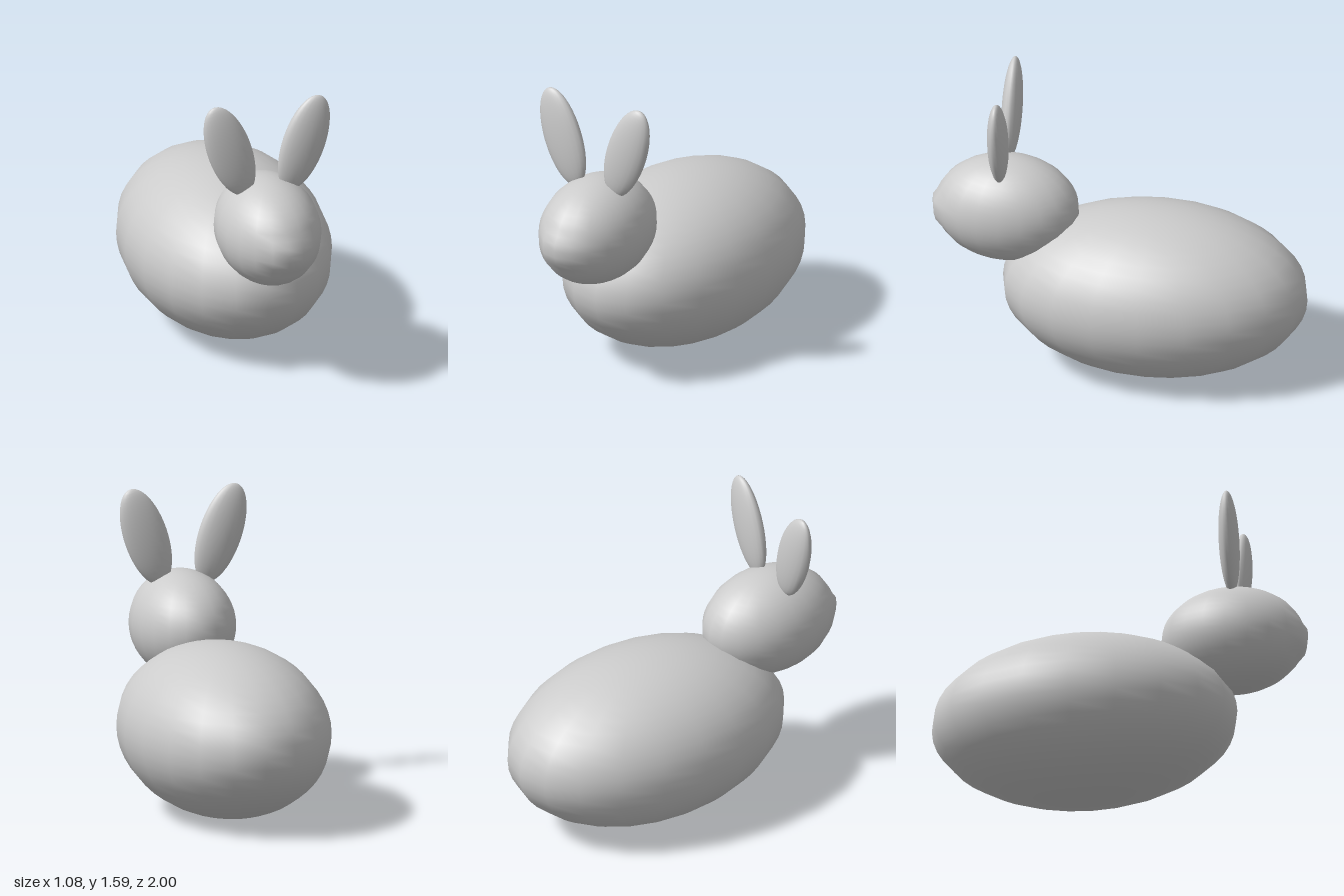
import * as THREE from 'three';

const material = new THREE.MeshStandardMaterial({ color: 0xcccccc });

// Ellipsoid with its poles on the local y axis
function ellipsoid(name, radii, position, segments = 20, rings = 24) {
  const geometry = new THREE.SphereGeometry(1, segments, rings);
  geometry.scale(...radii);
  const mesh = new THREE.Mesh(geometry, material);
  mesh.name = name;
  mesh.position.set(...position);
  return mesh;
}

export function createModel() {
  const model = new THREE.Group();
  model.name = 'rabbit';

  // Long egg-shaped body resting on the ground
  model.add(ellipsoid('body', [0.542, 0.452, 0.812], [0, 0.452, -0.188]));

  // Head, with a faint raised nose at the front
  const head = ellipsoid('head', [0.273, 0.288, 0.383], [0, 0.858, 0.602]);
  const points = head.geometry.attributes.position;
  for (let i = 0; i < points.count; i++) {
    const x = points.getX(i), y = points.getY(i), z = points.getZ(i);
    if (z > 0.3 && Math.abs(x) < 0.1 && y > -0.08 && y < 0.05) points.setZ(i, z + 0.015);
  }
  head.geometry.computeVertexNormals();
  // Restore smooth normals so the sphere seam stays hidden
  const normals = head.geometry.attributes.normal;
  const n = new THREE.Vector3();
  for (let i = 0; i < points.count; i++) {
    const x = points.getX(i), y = points.getY(i), z = points.getZ(i);
    if (z > 0.3) continue;
    n.set(x / 0.273 ** 2, y / 0.288 ** 2, z / 0.383 ** 2).normalize();
    normals.setXYZ(i, n.x, n.y, n.z);
  }
  model.add(head);

  // Flat upright ears leaning outwards
  for (const [name, side, x] of [['leftEar', 1, 0.195], ['rightEar', -1, -0.212]]) {
    const ear = ellipsoid(name, [0.118, 0.273, 0.052], [x, 1.33, 0.615]);
    ear.rotation.z = -side * 0.33;
    model.add(ear);
  }
  return model;
}
